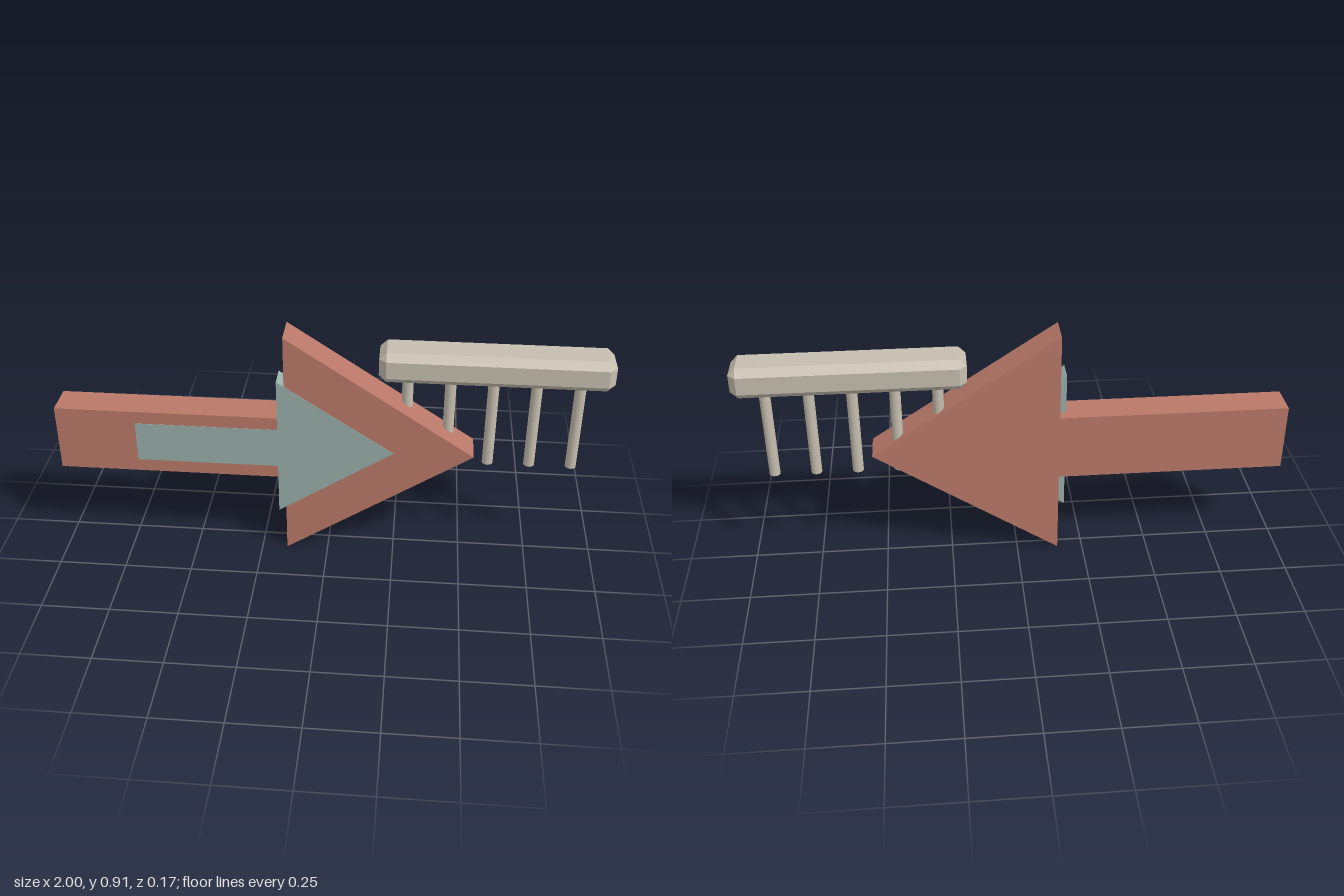
import * as THREE from 'three';
import { ConvexGeometry } from 'three/addons/geometries/ConvexGeometry.js';

const red = new THREE.MeshStandardMaterial({ color: 0xb97868 });
red.name = 'terracotta';
const teal = new THREE.MeshStandardMaterial({ color: 0x98aea9 });
teal.name = 'grey teal';
const stone = new THREE.MeshStandardMaterial({ color: 0xc6beaf });
stone.name = 'warm stone';

function add(group, name, geometry, material, x = 0, y = 0, z = 0) {
  const mesh = new THREE.Mesh(geometry, material);
  mesh.name = name;
  mesh.position.set(x, y, z);
  group.add(mesh);
}

// Arrow pointing to +x, symmetric about its own centre line, extruded along z
function arrowGeometry(tail, neck, tip, halfShaft, halfHead, depth) {
  const shape = new THREE.Shape([
    [tail, -halfShaft], [neck, -halfShaft], [neck, -halfHead], [tip, 0],
    [neck, halfHead], [neck, halfShaft], [tail, halfShaft],
  ].map(([x, y]) => new THREE.Vector2(x, y)));
  return new THREE.ExtrudeGeometry(shape, { depth, bevelEnabled: false });
}

// Box with every edge cut off at 45 degrees
function chamferedBox(w, h, d, c) {
  const [hx, hy, hz] = [w / 2, h / 2, d / 2];
  const points = [];
  for (const sx of [-1, 1]) for (const sy of [-1, 1]) for (const sz of [-1, 1]) {
    points.push(
      new THREE.Vector3(sx * hx, sy * (hy - c), sz * (hz - c)),
      new THREE.Vector3(sx * (hx - c), sy * hy, sz * (hz - c)),
      new THREE.Vector3(sx * (hx - c), sy * (hy - c), sz * hz),
    );
  }
  return new ConvexGeometry(points);
}

export function createModel() {
  const model = new THREE.Group();
  model.name = 'arrowAndComb';

  // Large arrow with a smaller one set into its front face
  add(model, 'largeArrow', arrowGeometry(-1, -0.155, 0.53, 0.127, 0.453, 0.125), red, 0, 0.453, -0.042);
  add(model, 'smallArrow', arrowGeometry(-0.705, -0.182, 0.241, 0.078, 0.278, 0.0845), teal, 0, 0.453, 0);

  // Comb: chamfered bar with five round teeth
  const comb = new THREE.Group();
  comb.name = 'comb';
  add(comb, 'combBar', chamferedBox(0.82, 0.117, 0.151, 0.026), stone, 0.588, 0.787, -0.006);
  const tooth = new THREE.CylinderGeometry(0.02, 0.02, 0.37, 16);
  for (let i = 0; i < 5; i++) {
    add(comb, 'combTooth', tooth, stone, 0.282 + i * 0.152, 0.563, -0.006);
  }
  model.add(comb);
  return model;
}
